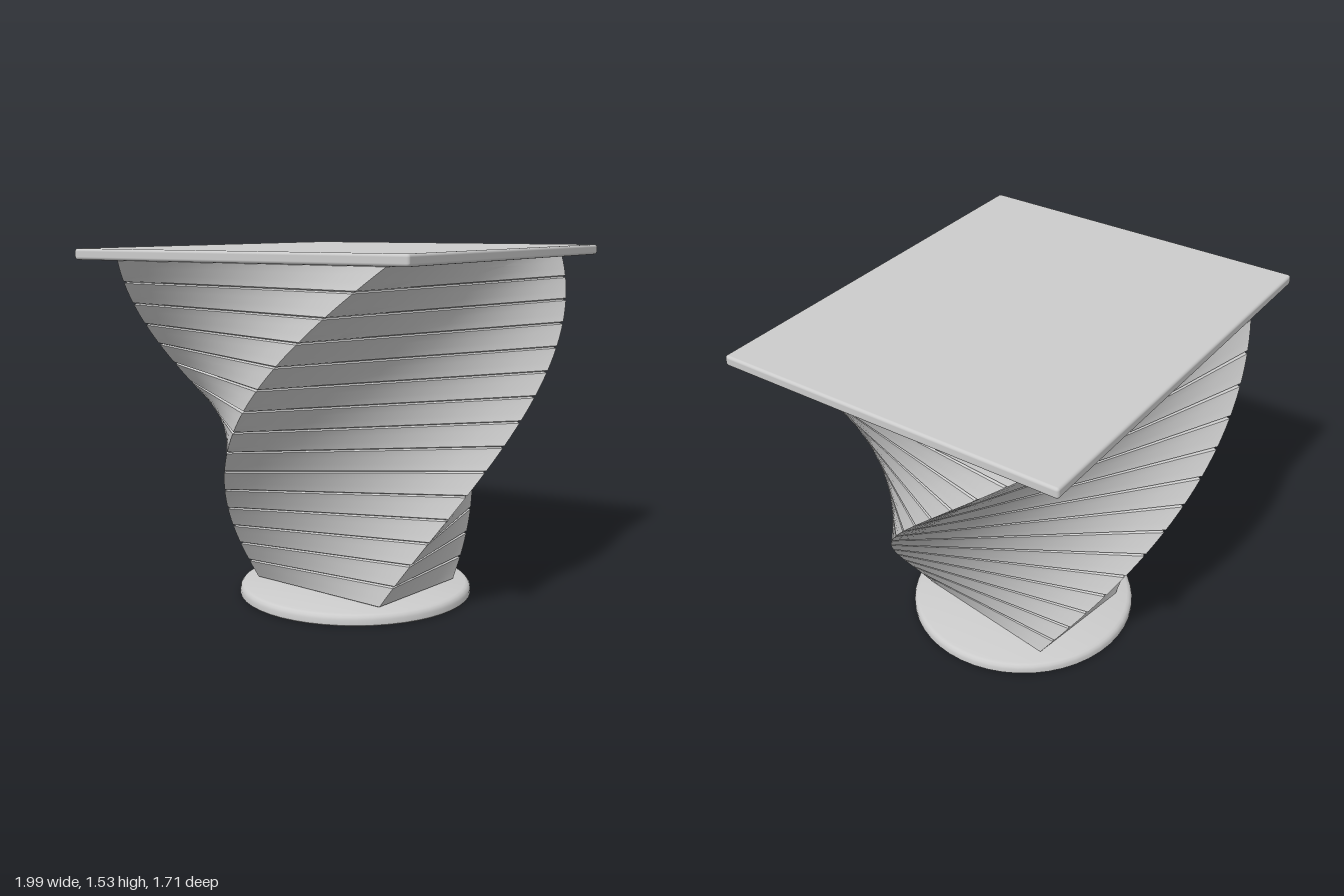
import * as THREE from 'three';
import { toCreasedNormals } from 'three/addons/utils/BufferGeometryUtils.js';
import { RoundedBoxGeometry } from 'three/addons/geometries/RoundedBoxGeometry.js';

const BOTTOM = 0.05, TOP = 1.49, LAYERS = 15;
const TOP_ANGLE = 0.108, BOTTOM_ANGLE = -1.62;
const UP = new THREE.Vector3(0, 1, 0);

// Point on the twisting, widening rectangle: u runs 0..4 round its sides
function bodyPoint(u, y, inset) {
  const t = (y - BOTTOM) / (TOP - BOTTOM);
  const r = THREE.MathUtils.lerp(0.437, 1.03, t);
  const a = r * 0.796 - inset, b = r * 0.605 - inset;
  const corners = [[a, b], [a, -b], [-a, -b], [-a, b]];
  const k = Math.floor(u) % 4, f = u - Math.floor(u);
  const [p, q] = [corners[k], corners[(k + 1) % 4]];
  return new THREE.Vector3(p[0] + (q[0] - p[0]) * f, y, p[1] + (q[1] - p[1]) * f)
    .applyAxisAngle(UP, THREE.MathUtils.lerp(BOTTOM_ANGLE, TOP_ANGLE, t));
}

// One twisted layer, chamfered top and bottom so that neighbours form a groove
function layerGeometry(y0, y1) {
  const g = 0.005, inset = 0.01, steps = 3, columns = 32;
  const rows = [[y0, inset]];
  for (let i = 0; i <= steps; i++) rows.push([y0 + g + (y1 - y0 - 2 * g) * i / steps, 0]);
  rows.push([y1, inset]);
  const grid = rows.map(([y, d]) =>
    Array.from({ length: columns }, (_, i) => bodyPoint(i * 4 / columns, y, d)));
  const points = [];
  for (let j = 0; j < rows.length - 1; j++) {
    for (let i = 0; i < columns; i++) {
      const n = (i + 1) % columns;
      const a = grid[j][i], b = grid[j][n], c = grid[j + 1][n], d = grid[j + 1][i];
      points.push(a, b, c, a, c, d);
    }
  }
  return toCreasedNormals(new THREE.BufferGeometry().setFromPoints(points), 0.5);
}

export function createModel() {
  const model = new THREE.Group();
  const material = new THREE.MeshStandardMaterial({ color: 0xcccccc });
  const add = (parent, name, geometry) => {
    const mesh = new THREE.Mesh(geometry, material);
    mesh.name = name;
    parent.add(mesh);
    return mesh;
  };

  // Round foot with a softened upper rim
  const R = 0.517;
  const profile = [[0, 0], [R - 0.005, 0], [R, 0.005], [R, 0.026], [R - 0.004, 0.037],
    [R - 0.012, 0.046], [R - 0.024, 0.05], [0, 0.05]].map(([x, y]) => new THREE.Vector2(x, y));
  add(model, 'base', toCreasedNormals(new THREE.LatheGeometry(profile, 48), 0.6));

  // Twisted stack of layers
  const body = new THREE.Group();
  body.name = 'twistedBody';
  model.add(body);
  const h = (TOP - BOTTOM) / LAYERS;
  for (let i = 0; i < LAYERS; i++) {
    add(body, `layer${i + 1}`, layerGeometry(BOTTOM + i * h, BOTTOM + (i + 1) * h));
  }

  // Flat rectangular top
  const plate = add(model, 'topPlate', new RoundedBoxGeometry(1.84, 0.045, 1.52, 3, 0.012));
  plate.position.y = TOP + 0.0225;
  plate.rotation.y = TOP_ANGLE;

  return model;
}
